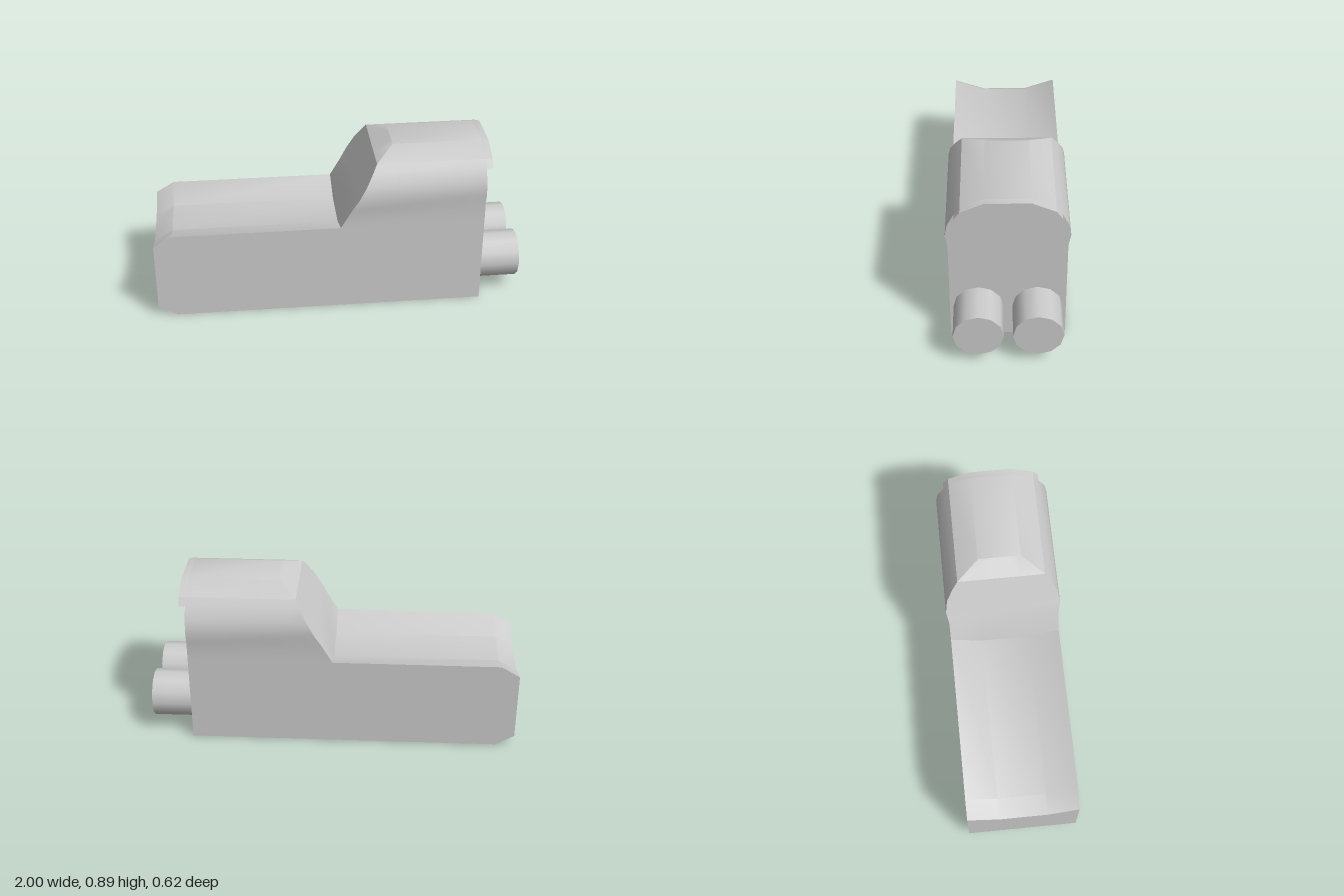
import * as THREE from 'three';
import { toCreasedNormals } from 'three/addons/utils/BufferGeometryUtils.js';

const material = new THREE.MeshStandardMaterial({ color: 0xcccccc });
const REAR = 0.78;

// Collects quads (corners counter-clockwise from outside) into a geometry
function quadBuilder() {
  const pos = [];
  return {
    quad(a, b, c, d) { pos.push(...a, ...b, ...c, ...a, ...c, ...d); },
    build(crease) {
      const g = new THREE.BufferGeometry();
      g.setAttribute('position', new THREE.Float32BufferAttribute(pos, 3));
      return toCreasedNormals(g, crease);
    },
  };
}

// Joins two rings of points lying one behind the other along x
function joinRings(q, a, b) {
  a.forEach((p, i) => {
    const k = (i + 1) % a.length;
    q.quad(p, b[i], b[k], a[k]);
  });
}

// Long low front body with a shallow trough along its top
function bodyGeometry() {
  const q = quadBuilder();
  const ring = (x, bottom, top) => [
    [x, bottom, 0.3], [x, top, 0.3], [x, top - 0.06, 0.13],
    [x, top - 0.06, -0.13], [x, top, -0.3], [x, bottom, -0.3],
  ];
  const rings = [ring(-1, 0.06, 0.44), ring(-0.9, 0, 0.5), ring(0, 0, 0.5)];
  for (let i = 0; i < 2; i++) joinRings(q, rings[i], rings[i + 1]);
  const e = rings[0];
  q.quad(e[0], e[1], e[2], e[3]);
  q.quad(e[0], e[3], e[4], e[5]);
  return q.build(0.6);
}

// Tall arched cabin with a sloping windshield
function cabinGeometry() {
  const q = quadBuilder();
  // half width, height, front x
  const rows = [
    [0.3, 0, 0], [0.3, 0.5, 0], [0.3, 0.6, 0.058], [0.312, 0.667, 0.097],
    [0.3, 0.735, 0.136], [0.265, 0.8, 0.173], [0.235, 0.842, 0.197], [0.115, 0.895, 0.295],
  ];
  const front = (s) => rows.map(([z, y, x]) => [x, y, s * z]);
  const ring = [...front(1), ...front(-1).reverse()];
  const rear = ring.map(([, y, z]) => [REAR, y, z]);
  joinRings(q, ring, rear);

  // Four points across the windshield; the lowest row dips into the trough
  const across = ([z, y, x], i) => [-1, -0.43, 0.43, 1].map((f) =>
    [x, i === 1 && Math.abs(f) < 1 ? 0.44 : y, f * z]);
  for (let i = 0; i < rows.length - 1; i++) {
    const a = across(rows[i], i), b = across(rows[i + 1], i + 1);
    if (i > 0) for (let j = 0; j < 3; j++) q.quad(a[j], a[j + 1], b[j + 1], b[j]);
    const [z0, y0] = rows[i], [z1, y1] = rows[i + 1];
    q.quad([REAR, y0, z0], [REAR, y0, -z0], [REAR, y1, -z1], [REAR, y1, z1]);
  }
  return q.build(0.52);
}

// Thin roof lip overhanging the rear wall
function lipGeometry() {
  const half = [[0.135, 0.853], [0.265, 0.8], [0.235, 0.842], [0.115, 0.895]];
  const points = [...half, ...half.map(([z, y]) => [-z, y]).reverse()];
  const shape = new THREE.Shape(points.map(([z, y]) => new THREE.Vector2(z, y)));
  const g = new THREE.ExtrudeGeometry(shape, { depth: 0.035, bevelEnabled: false });
  g.rotateY(Math.PI / 2).translate(REAR, 0, 0);
  return toCreasedNormals(g, 0.52);
}

export function createModel() {
  const group = new THREE.Group();
  const add = (name, geometry) => {
    const mesh = new THREE.Mesh(geometry, material);
    mesh.name = name;
    group.add(mesh);
    return mesh;
  };

  add('frontBody', bodyGeometry());
  add('cabin', cabinGeometry());
  add('roofLip', lipGeometry());

  // Pair of rear exhaust cylinders
  for (const s of [1, -1]) {
    const nozzle = add(s > 0 ? 'nozzleFront' : 'nozzleBack',
      new THREE.CylinderGeometry(0.129, 0.129, 1 - REAR, 12));
    nozzle.rotation.z = -Math.PI / 2;
    nozzle.position.set((1 + REAR) / 2, 0.193, s * 0.152);
  }
  return group;
}
